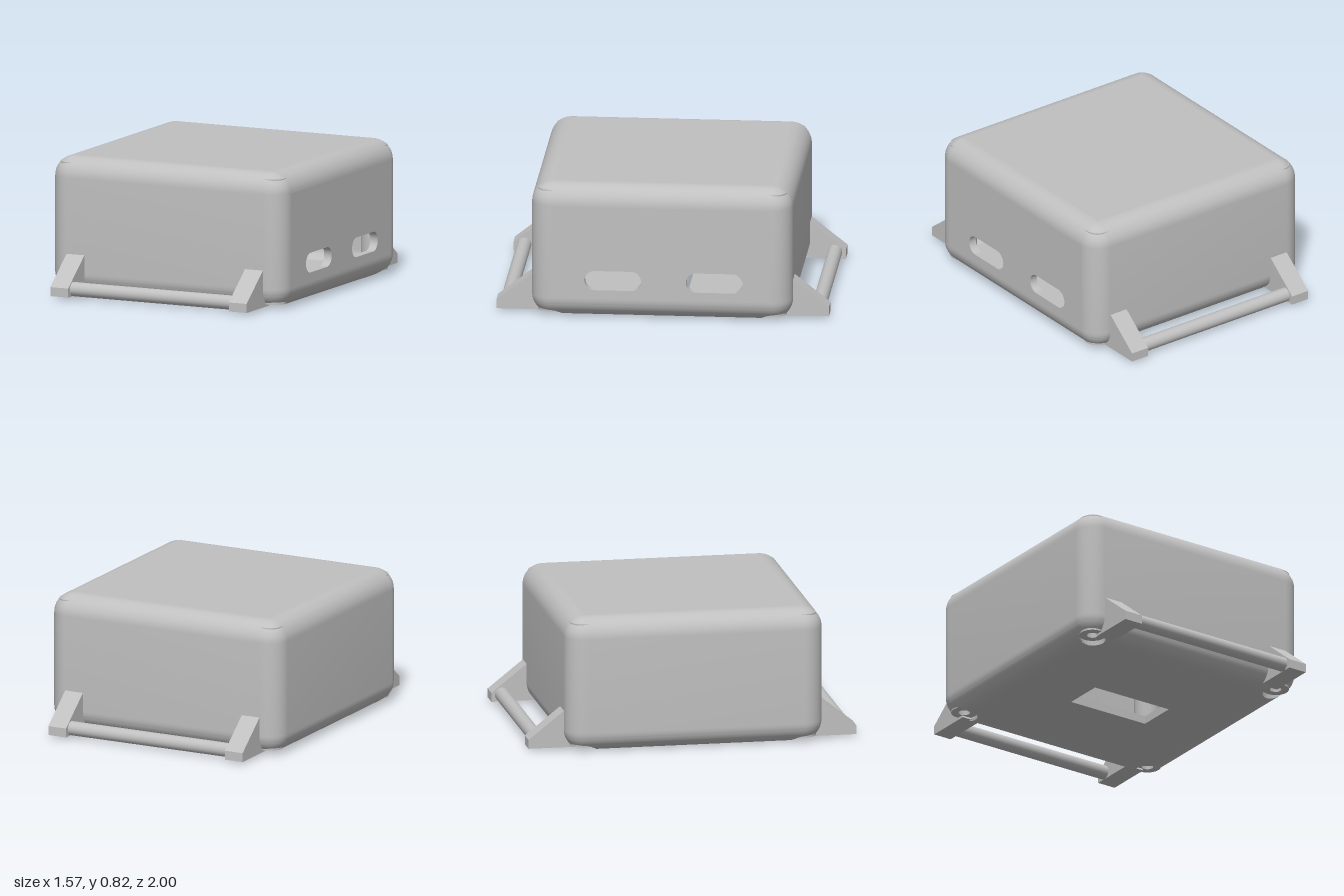
import * as THREE from 'three';
import { toCreasedNormals } from 'three/addons/utils/BufferGeometryUtils.js';

const grey = new THREE.MeshStandardMaterial({ color: 0xc0c0c0 });
grey.name = 'grey plastic';

const CORE = 0.66;             // half-size of the flat area of every face
const LOW = 0.125, HIGH = 0.70; // heights where the fillets meet the walls
const OUTER = 0.125, INNER = 0.075; // fillet radii, 0.05 wall between them
const POST = 0.67, POST_R = 0.08, POST_Y = 0.03;
const N = 12;                  // segments per corner

function add(parent, name, geometry) {
  const mesh = new THREE.Mesh(geometry, grey);
  mesh.name = name;
  parent.add(mesh);
  return mesh;
}

// Repeat one corner's points around the four corners
function fourCorners(corner) {
  const points = [];
  for (let q = 0; q < 4; q++) {
    const c = Math.round(Math.cos(q * Math.PI / 2)), s = Math.round(Math.sin(q * Math.PI / 2));
    for (let k = 0; k <= N; k++) {
      const [u, v] = corner(k / N);
      points.push([u * c - v * s, u * s + v * c]);
    }
  }
  return points;
}

const roundLoop = (r) => fourCorners((t) => [
  CORE + r * Math.cos(t * Math.PI / 2), CORE + r * Math.sin(t * Math.PI / 2)]);

// Square loop with a round recess bitten out of each corner
function bittenLoop(r) {
  const start = -Math.acos((CORE + r - POST) / POST_R);
  const end = Math.PI / 2 - start - 2 * Math.PI;
  return fourCorners((t) => {
    const a = start + (end - start) * t;
    return [POST + POST_R * Math.cos(a), POST + POST_R * Math.sin(a)];
  });
}

// Skin over stacked loops; the flat left panel can be left open
function loft(rows, inward, openRow = -1) {
  const pos = [];
  for (let i = 0; i < rows.length - 1; i++) {
    const n = rows[i].loop.length;
    for (let j = 0; j < n; j++) {
      if (i === openRow && j === n - 1) continue;
      const at = (row, k) => [row.loop[k % n][0], row.y, row.loop[k % n][1]];
      const a = at(rows[i], j), b = at(rows[i], j + 1);
      const c = at(rows[i + 1], j + 1), d = at(rows[i + 1], j);
      const corners = inward ? [a, b, c, a, c, d] : [a, d, c, a, c, b];
      corners.forEach((p) => pos.push(...p));
    }
  }
  const g = new THREE.BufferGeometry();
  g.setAttribute('position', new THREE.Float32BufferAttribute(pos, 3));
  return toCreasedNormals(g, 0.5);
}

// Filleted box wall, from angle `from` in the lower fillet to the top
function shell(radius, from, inward) {
  const rows = [];
  for (let i = 0; i <= N; i++) {
    const a = from + (Math.PI / 2 - from) * i / N;
    rows.push({ y: LOW - radius * Math.cos(a), loop: roundLoop(radius * Math.sin(a)) });
  }
  for (let i = 0; i <= N; i++) {
    const a = Math.PI / 2 * i / N;
    rows.push({ y: HIGH + radius * Math.sin(a), loop: roundLoop(radius * Math.cos(a)) });
  }
  return loft(rows, inward, N);
}

function slot(cx, cy, length, height) {
  const r = height / 2, half = length / 2 - r;
  const path = new THREE.Path();
  path.absarc(cx + half, cy, r, -Math.PI / 2, Math.PI / 2, false);
  path.absarc(cx - half, cy, r, Math.PI / 2, Math.PI * 1.5, false);
  path.closePath();
  return path;
}

function rectangle(target, x0, y0, x1, y1) {
  target.moveTo(x0, y0).lineTo(x1, y0).lineTo(x1, y1).lineTo(x0, y1).closePath();
  return target;
}

export function createModel() {
  const model = new THREE.Group();
  model.name = 'enclosure';

  // Hollow housing
  const housing = new THREE.Group();
  housing.name = 'housing';
  model.add(housing);
  const recessAngle = Math.acos((LOW - POST_Y) / OUTER);
  add(housing, 'outerShell', shell(OUTER, recessAngle, false));
  add(housing, 'innerShell', shell(INNER, 0, true));
  const rim = [];
  for (let i = 0; i <= 6; i++) {
    const a = recessAngle * i / 6;
    rim.push({ y: LOW - OUTER * Math.cos(a), loop: bittenLoop(OUTER * Math.sin(a)) });
  }
  add(housing, 'bottomRim', loft(rim, false));
  add(housing, 'roof', new THREE.BoxGeometry(2 * CORE, 0.05, 2 * CORE)).position.y = 0.80;

  // Floor with a rectangular opening
  const floor = new THREE.Shape(bittenLoop(0).map(([x, z]) => new THREE.Vector2(x, z)));
  floor.holes.push(rectangle(new THREE.Path(), -0.27, -0.125, 0.27, 0.125));
  const floorGeo = new THREE.ExtrudeGeometry(floor, { depth: 0.05, bevelEnabled: false });
  add(housing, 'floor', floorGeo.rotateX(Math.PI / 2).translate(0, 0.05, 0));

  // Left wall with two slots
  const wall = rectangle(new THREE.Shape(), -CORE, LOW, CORE, HIGH);
  wall.holes.push(slot(-0.29, 0.24, 0.34, 0.12), slot(0.32, 0.24, 0.34, 0.12));
  const wallGeo = new THREE.ExtrudeGeometry(wall, { depth: 0.05, bevelEnabled: false, curveSegments: 16 });
  add(housing, 'slottedWall', wallGeo.rotateY(Math.PI / 2).translate(CORE + INNER, 0, 0));

  // Corner screw posts, bored from below
  const postProfile = [[0, 0.7], [0.035, 0.7], [0.035, POST_Y], [POST_R, POST_Y], [POST_R, 0.79], [0, 0.79]]
    .map(([r, y]) => new THREE.Vector2(r, y));
  const postGeo = toCreasedNormals(new THREE.LatheGeometry(postProfile, 32), 0.5);
  for (const x of [-POST, POST]) {
    for (const z of [-POST, POST]) add(model, 'screwPost', postGeo).position.set(x, 0, z);
  }

  // Carrying rails: two wedge brackets and a round bar, front and back
  const wedge = new THREE.Shape([[0.70, 0.015], [1, 0.015], [1, 0.07], [0.785, 0.24], [0.75, 0.24], [0.75, 0.1]]
    .map(([z, y]) => new THREE.Vector2(z, y)));
  const wedgeGeo = new THREE.ExtrudeGeometry(wedge, { depth: 0.12, bevelEnabled: false })
    .rotateY(-Math.PI / 2).translate(0.06, 0, 0);
  const barGeo = new THREE.CylinderGeometry(0.043, 0.043, 1.1, 32).rotateZ(Math.PI / 2);
  ['frontRail', 'backRail'].forEach((name, i) => {
    const rail = new THREE.Group();
    rail.name = name;
    for (const x of [-0.6, 0.6]) add(rail, 'bracket', wedgeGeo).position.x = x;
    add(rail, 'bar', barGeo).position.set(0, 0.058, 0.935);
    rail.rotation.y = i * Math.PI;
    model.add(rail);
  });

  return model;
}
